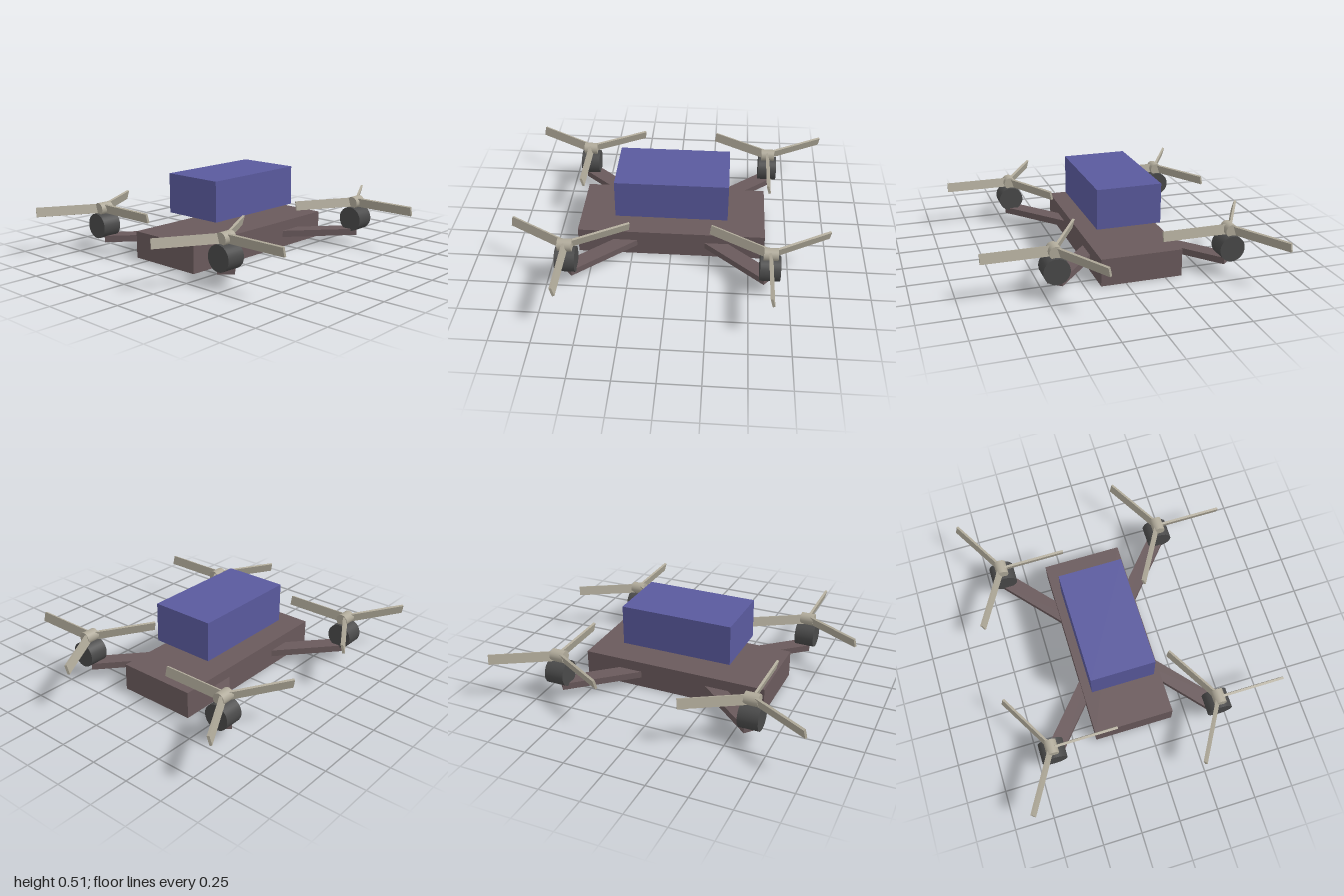
import * as THREE from 'three';

const BODY_X = -0.1; // the airframe sits off-centre because the rotors sweep further to +x
const ROTOR_DX = 0.543;
const ROTOR_DZ = 0.625;

const material = (color) => new THREE.MeshStandardMaterial({ color });

function addMesh(parent, name, geometry, mat, x = 0, y = 0, z = 0) {
  const mesh = new THREE.Mesh(geometry, mat);
  mesh.name = name;
  mesh.position.set(x, y, z);
  parent.add(mesh);
  return mesh;
}

export function createModel() {
  const model = new THREE.Group();
  model.name = 'quadcopter';

  const frameMat = material(0x6a5a5c);
  const cargoMat = material(0x5a5a9e);
  const motorMat = material(0x4a4a4a);
  const rotorMat = material(0xb0aa9a);

  // Body slab and the box hovering above it
  addMesh(model, 'body', new THREE.BoxGeometry(0.51, 0.172, 1.2), frameMat, BODY_X, 0.086, 0);
  addMesh(model, 'topBox', new THREE.BoxGeometry(0.41, 0.254, 0.716), cargoMat, BODY_X, 0.387, 0);

  // Arm runs from the body centre line to the motor
  const armLength = Math.hypot(ROTOR_DX, ROTOR_DZ);
  const armGeo = new THREE.BoxGeometry(armLength, 0.042, 0.1).translate(armLength / 2, 0, 0);

  // Motor and hub barrels lie along z
  const motorGeo = new THREE.CylinderGeometry(0.08, 0.08, 0.125, 32).rotateX(Math.PI / 2);
  const hubGeo = new THREE.CylinderGeometry(0.039, 0.039, 0.088, 24).rotateX(Math.PI / 2);

  // Upright blade, pitched slightly about its own length
  const bladeGeo = new THREE.BoxGeometry(0.425, 0.06, 0.015)
    .rotateX(THREE.MathUtils.degToRad(15))
    .translate(0.2125, 0, 0);

  for (const sx of [-1, 1]) {
    for (const sz of [-1, 1]) {
      const corner = (sz > 0 ? 'front' : 'back') + (sx > 0 ? 'Left' : 'Right');
      const x = BODY_X + sx * ROTOR_DX;
      const z = sz * ROTOR_DZ;

      const arm = addMesh(model, corner + 'Arm', armGeo, frameMat, BODY_X, 0.086, 0);
      arm.rotation.y = Math.atan2(-sz * ROTOR_DZ, sx * ROTOR_DX);

      addMesh(model, corner + 'Motor', motorGeo, motorMat, x, 0.172, z);

      // Rotor: hub with three blades
      const rotor = new THREE.Group();
      rotor.name = corner + 'Rotor';
      rotor.position.set(x, 0.28, z);
      addMesh(rotor, 'hub', hubGeo, rotorMat);
      for (let i = 0; i < 3; i++) {
        addMesh(rotor, 'blade', bladeGeo, rotorMat).rotation.y = (i * Math.PI * 2) / 3;
      }
      model.add(rotor);
    }
  }
  return model;
}
